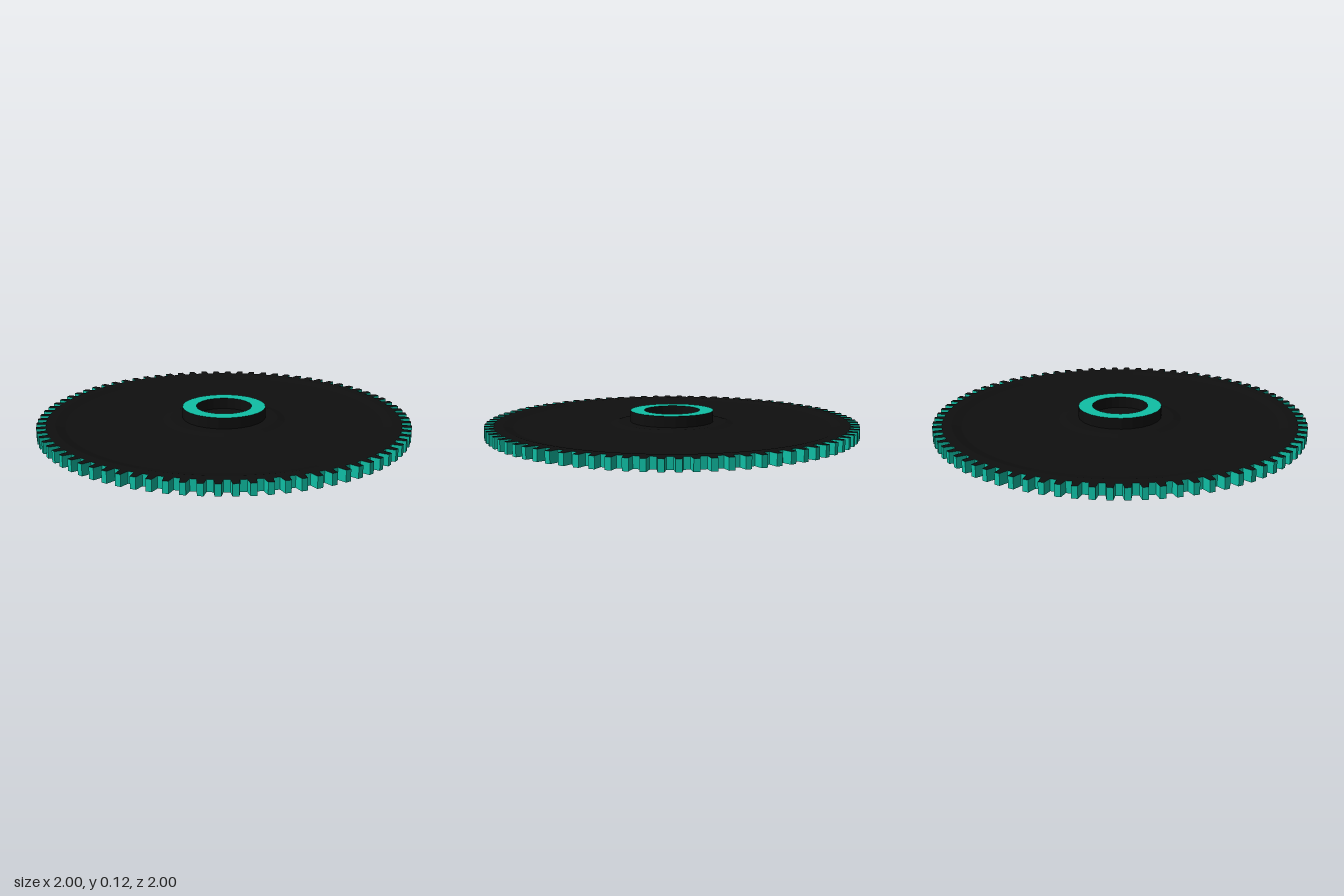
import * as THREE from 'three';

const TEETH = 80, ROOT = 0.95, TIP = 1, TOP = 0.06, HUB_TOP = 0.12;
const RIM = 0.9, HUB = 0.225, BORE = 0.15;

const black = new THREE.MeshStandardMaterial({ color: 0x0f0f0f, flatShading: true });
const teal = new THREE.MeshStandardMaterial({ color: 0x10bfa5, flatShading: true });

function named(name, geometry, material) {
  const mesh = new THREE.Mesh(geometry, material);
  mesh.name = name;
  return mesh;
}

// Surface of revolution; profile runs up the outside and inward over the top
function turned(name, profile, segments, material) {
  const points = profile.map(([r, y]) => new THREE.Vector2(r, y));
  return named(name, new THREE.LatheGeometry(points, segments), material);
}

const polar = (r, a) => new THREE.Vector2(r * Math.cos(a), r * Math.sin(a));

export function createModel() {
  const gear = new THREE.Group();
  gear.name = 'gear';

  // Toothed rim: tapered teeth, dark faces, coloured flanks
  const outline = [];
  const pitch = (Math.PI * 2) / TEETH;
  for (let i = 0; i < TEETH; i++) {
    const a = i * pitch;
    outline.push(polar(ROOT, a - pitch * 0.29), polar(TIP, a - pitch * 0.19),
      polar(TIP, a + pitch * 0.19), polar(ROOT, a + pitch * 0.29));
  }
  const shape = new THREE.Shape(outline);
  const hole = [];
  for (let i = 0; i < 96; i++) hole.push(polar(RIM, (-i / 96) * Math.PI * 2));
  shape.holes.push(new THREE.Path(hole));
  const rim = new THREE.ExtrudeGeometry(shape, { depth: TOP, bevelEnabled: false });
  rim.rotateX(-Math.PI / 2);
  gear.add(named('toothedRim', rim, [black, teal]));

  // Shallow dished web between rim and hub, and the flat underside
  gear.add(turned('web', [[RIM, TOP], [0.85, 0.05], [0.33, 0.05], [0.29, TOP], [HUB - 0.01, TOP]], 96, black));
  gear.add(turned('underside', [[0, 0], [RIM, 0]], 96, black));

  // Hub with a coloured end face and a blind bore
  gear.add(turned('hubWall', [[HUB, 0.05], [HUB, HUB_TOP]], 24, black));
  gear.add(turned('hubFace', [[HUB, HUB_TOP], [BORE, HUB_TOP]], 24, teal));
  gear.add(turned('bore', [[BORE, HUB_TOP], [BORE, TOP], [0, TOP]], 24, black));

  return gear;
}
